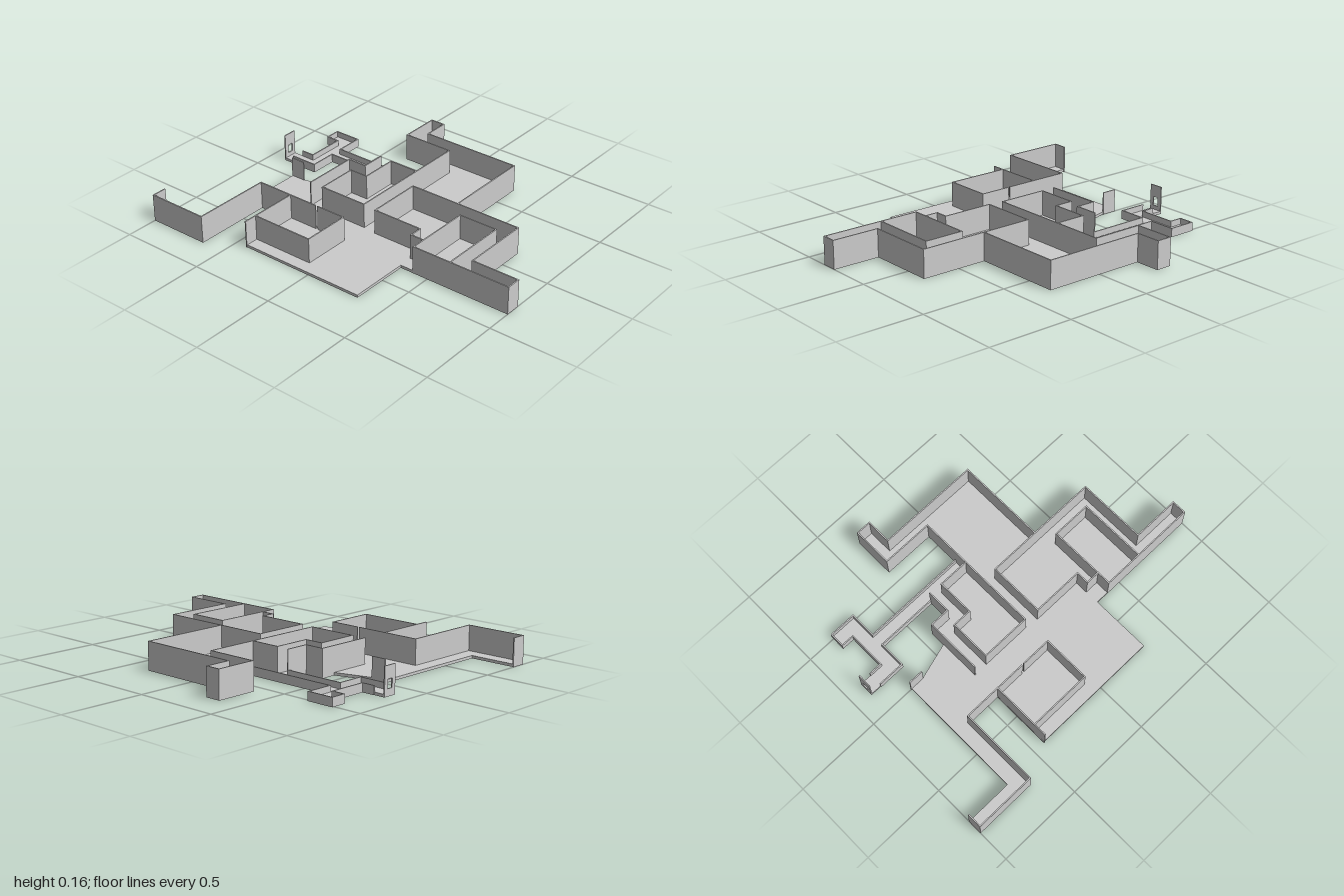
import * as THREE from 'three';

const FULL = 0.16, LOW = 0.05, SLAB = 0.016, T = 0.007;

export function createModel() {
  const model = new THREE.Group();
  const mat = new THREE.MeshStandardMaterial({ color: 0xcccccc, side: THREE.DoubleSide, flatShading: true });

  // Flat slab from an outline of [x, z] corners
  function slab(name, pts) {
    const shape = new THREE.Shape(pts.map(([x, z]) => new THREE.Vector2(x, -z)));
    const geo = new THREE.ExtrudeGeometry(shape, { depth: SLAB, bevelEnabled: false });
    geo.rotateX(-Math.PI / 2);
    const mesh = new THREE.Mesh(geo, mat);
    mesh.name = name;
    model.add(mesh);
  }

  // Run of thin upright panels along [x, z] corners
  function walls(name, height, pts) {
    const group = new THREE.Group();
    group.name = name;
    for (let i = 1; i < pts.length; i++) {
      const [ax, az] = pts[i - 1], [bx, bz] = pts[i];
      const panel = new THREE.Mesh(new THREE.BoxGeometry(Math.hypot(bx - ax, bz - az) + T, height, T), mat);
      panel.position.set((ax + bx) / 2, height / 2, (az + bz) / 2);
      panel.rotation.y = -Math.atan2(bz - az, bx - ax);
      panel.name = name + 'Panel';
      group.add(panel);
    }
    model.add(group);
  }

  // Main floor with its corridors
  slab('mainFloor', [
    [-0.81, -1], [-0.73, -1], [-0.73, -0.725], [0, -0.725], [0, -0.64], [0.06, -0.43],
    [0.145, -0.43], [0.145, -0.315], [0.28, -0.315], [0.355, -0.315], [0.355, -0.055],
    [0.575, -0.055], [0.575, -0.355], [0.81, -0.355], [0.81, -0.27], [0.66, -0.27],
    [0.66, 0.33], [0.135, 0.33], [0.135, 0.72], [-0.265, 0.72], [-0.265, 1], [-0.35, 1],
    [-0.35, 0.33], [-0.7, 0.33], [-0.7, -0.43], [-0.35, -0.43], [-0.35, -0.64], [-0.81, -0.64],
  ]);

  // Forked passage with low sides
  slab('forkFloor', [
    [0.28, -0.315], [0.28, -0.675], [0.125, -0.675], [0.125, -0.9], [0.205, -0.9], [0.205, -0.755],
    [0.425, -0.755], [0.425, -0.83], [0.51, -0.83], [0.51, -0.675], [0.355, -0.675], [0.355, -0.315],
  ]);
  walls('forkLeftCurb', LOW, [[0.28, -0.315], [0.28, -0.675], [0.125, -0.675], [0.125, -0.83]]);
  walls('forkBackCurb', LOW, [[0.205, -0.83], [0.205, -0.755], [0.425, -0.755], [0.425, -0.83],
    [0.51, -0.83], [0.51, -0.675], [0.355, -0.675], [0.355, -0.055]]);

  // End plate of the fork, with an opening
  const plate = new THREE.Shape();
  plate.moveTo(0.125, 0).lineTo(0.205, 0).lineTo(0.205, FULL).lineTo(0.125, FULL).closePath();
  const hole = new THREE.Path();
  hole.moveTo(0.148, 0.04).lineTo(0.148, 0.09).lineTo(0.182, 0.09).lineTo(0.182, 0.04).closePath();
  plate.holes.push(hole);
  const endPlate = new THREE.Mesh(new THREE.ExtrudeGeometry(plate, { depth: T, bevelEnabled: false }), mat);
  endPlate.position.z = -0.9;
  endPlate.name = 'forkEndPlate';
  model.add(endPlate);

  // Outer walls
  walls('backLeftWall', FULL, [[-0.73, -0.997], [-0.81, -0.997], [-0.81, -0.64], [-0.35, -0.64], [-0.35, -0.425], [-0.7, -0.425]]);
  walls('backRightWall', FULL, [[-0.18, -0.43], [0.145, -0.43], [0.145, -0.315], [0.28, -0.315]]);
  walls('rightWall', FULL, [[0.275, -0.055], [0.575, -0.055], [0.575, -0.355], [0.807, -0.355],
    [0.807, -0.27], [0.66, -0.27], [0.66, 0.33], [0.135, 0.33]]);
  walls('frontWall', FULL, [[-0.265, 0.41], [-0.265, 0.33], [-0.19, 0.33], [-0.19, 0.03], [0.135, 0.03],
    [0.135, 0.72], [-0.265, 0.72], [-0.265, 0.997], [-0.347, 0.997], [-0.347, 0.41]]);
  walls('backFin', 0.13, [[0, -0.725], [0, -0.645]]);

  // Inner rooms
  walls('leftRoom', FULL, [[-0.35, -0.25], [-0.35, -0.425], [-0.625, -0.425], [-0.625, -0.055], [-0.35, -0.055], [-0.35, -0.23]]);
  walls('rightRoom', FULL, [[-0.18, -0.345], [0.06, -0.345], [0.06, -0.235], [0.275, -0.235],
    [0.275, -0.055], [-0.18, -0.055], [-0.18, -0.345]]);
  walls('frontRoom', FULL, [[-0.347, 0.41], [0.05, 0.41], [0.05, 0.64], [-0.347, 0.64]]);

  return model;
}
